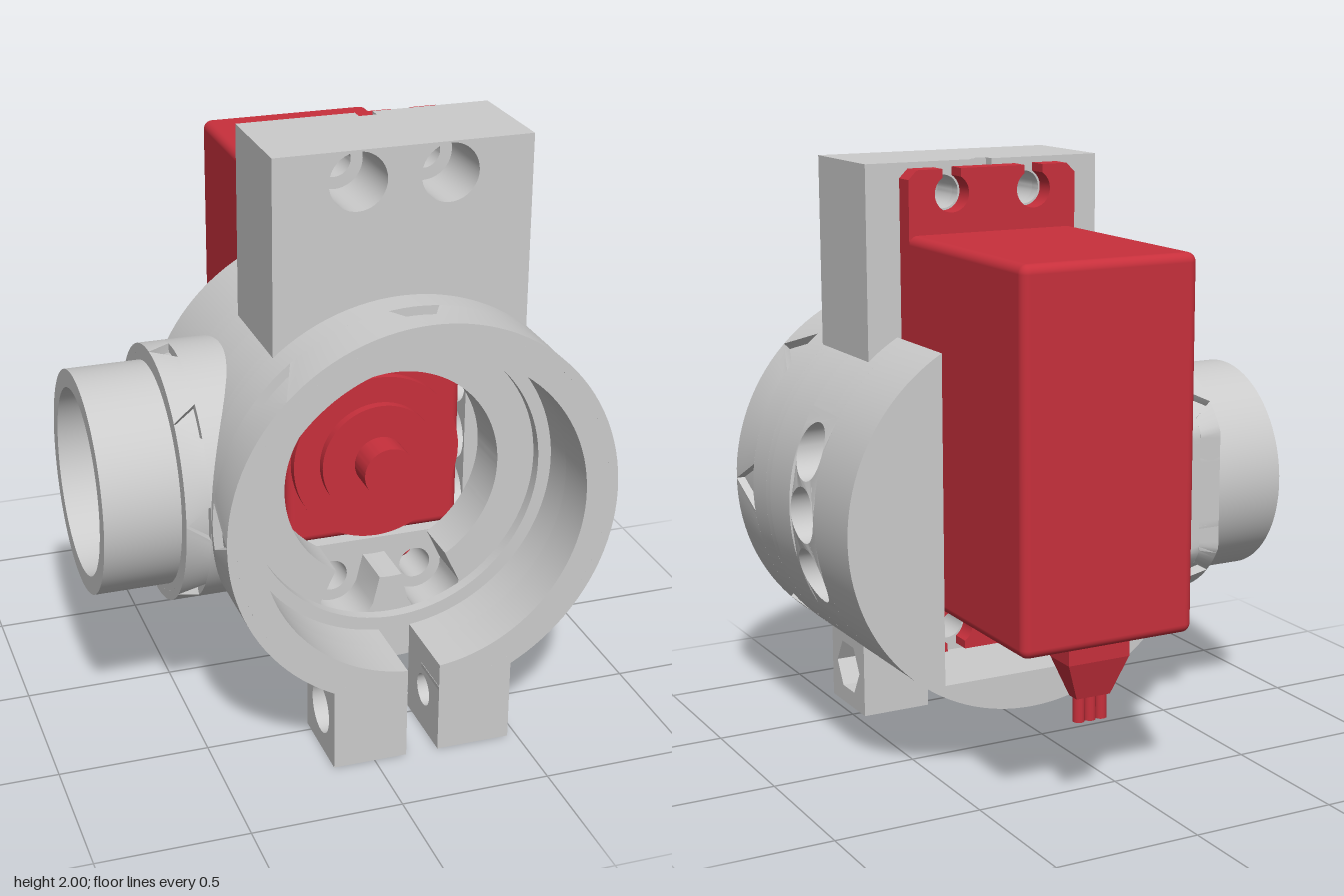
import * as THREE from 'three';
import { toCreasedNormals } from 'three/addons/utils/BufferGeometryUtils.js';
import { RoundedBoxGeometry } from 'three/addons/geometries/RoundedBoxGeometry.js';

const PI = Math.PI;
const R = 0.655;      // housing radius
const S = 0.32;       // half width of the motor slot
const grey = new THREE.MeshStandardMaterial({ color: 0xcccccc });
const red = new THREE.MeshStandardMaterial({ color: 0xc8303c });

function add(parent, name, geo, mat = grey, x = 0, y = 0, z = 0) {
  const m = new THREE.Mesh(geo, mat);
  m.name = name;
  m.position.set(x, y, z);
  parent.add(m);
  return m;
}

// Points along an arc
function arc(r, a0, a1, n = 64, cx = 0, cy = 0) {
  return Array.from({ length: n + 1 }, (_, i) => {
    const a = a0 + (a1 - a0) * i / n;
    return new THREE.Vector2(cx + r * Math.cos(a), cy + r * Math.sin(a));
  });
}
const circle = (r, x = 0, y = 0, n = 96) => arc(r, 0, 2 * PI, n, x, y).slice(0, n);
const pts = (...list) => list.map(([x, y]) => new THREE.Vector2(x, y));

// Extrudes an outline with holes from z0 to z1; rule may move each vertex
function slab(outline, holes, z0, z1, rule) {
  const shape = new THREE.Shape(outline);
  shape.holes = holes.map(h => new THREE.Path(h));
  const geo = new THREE.ExtrudeGeometry(shape, { depth: z1 - z0, bevelEnabled: false });
  geo.translate(0, 0, z0);
  return rule ? bend(geo, rule) : toCreasedNormals(geo, 0.5);
}

function bend(geo, rule) {
  const p = geo.attributes.position;
  for (let i = 0; i < p.count; i++) p.setXYZ(i, ...rule(p.getX(i), p.getY(i), p.getZ(i)));
  geo.computeVertexNormals();
  return toCreasedNormals(geo, 0.5);
}

// Raised curved tile between two pointer-shaped notches
function tile(a, b, halfA, halfB, r0, r1, z0, z1, minX = -9) {
  return bend(new THREE.BoxGeometry(1, 1, 1, 14, 1, 1), (x, y, z) => {
    const k = 0.5 - z;
    const t = (a + halfA * k) + (b - halfB * k - a - halfA * k) * (0.5 - x);
    const r = r0 + (r1 - r0) * (y + 0.5);
    return [Math.max(minX, r * Math.cos(t)), r * Math.sin(t), z0 + (z1 - z0) * (z + 0.5)];
  });
}

function buildHousing() {
  const g = new THREE.Group();
  g.name = 'housing';
  g.position.set(0.165, 0.86, 0);
  const a = Math.asin(0.34 / R), c = Math.acos(S / R);
  const screws = r => [-0.15, 0.15].map(x => circle(r, x, -0.43, 32));

  // Rear shell, slotted for the motor; the +x side is left open for the drilled cheek
  add(g, 'rearShell', slab([...arc(R, PI - c, 2 * PI + c, 110),
    ...pts([S, -0.53], [-S, -0.53])], [], -0.23, 0.04));
  add(g, 'rearShellLower', slab([...arc(R, PI - c, 2 * PI - a, 90),
    ...pts([S, -0.34], [S, -0.53], [-S, -0.53])], [], 0.04, 0.1));
  add(g, 'rearShellUpper', slab([...arc(R, a, c, 16), ...pts([S, 0.34])], [], 0.04, 0.1));
  add(g, 'motorPocket', slab([...arc(R, a, 2 * PI - a, 110),
    ...pts([S, -0.34], [S, -0.31], [-S, -0.31], [-S, 0.5], [S, 0.5], [S, 0.34])],
    screws(0.055), 0.1, 0.25));

  // Cheek with three cross holes, curved to the housing outside
  const edge = Array.from({ length: 25 }, (_, i) => -0.34 + 0.68 * i / 24);
  const cheek = [...edge.map(y => new THREE.Vector2(0.25, y)),
    ...edge.map(y => new THREE.Vector2(0.04, -y))];
  add(g, 'drilledCheek', slab(cheek, [-0.21, 0, 0.21].map(y => circle(0.095, 0.145, y, 40)), 0, 1,
    (x, y, z) => [S + (Math.sqrt(R * R - y * y) - S) * (1 - z), y, x]));

  // Bulkhead opening merged with the two screw counterbores
  const d = Math.hypot(0.15, 0.43);
  const opening = circle(1, 0, 0, 240).map(p => {
    let r = 0.37;
    for (const x of [-0.15, 0.15]) {
      const along = p.x * x - p.y * 0.43, h = 0.095 ** 2 - (d * d - along * along);
      if (along > 0 && h > 0) r = Math.max(r, along + Math.sqrt(h));
    }
    return p.multiplyScalar(r);
  });
  add(g, 'bulkhead', slab(circle(R), [opening], 0.25, 0.42));
  add(g, 'bearingSeat', slab(circle(R), [circle(0.5)], 0.42, 0.46));

  // Split clamp ring with pointer notches around the rim
  const split = (ro, ri) => {
    const o = Math.asin(0.055 / ro), i = Math.asin(0.055 / ri);
    return [...arc(ro, -PI / 2 + o, 1.5 * PI - o, 110), ...arc(ri, 1.5 * PI - i, -PI / 2 + i, 110)];
  };
  add(g, 'clampRing', slab(split(R, 0.545), [], 0.46, 0.58));
  add(g, 'clampRim', slab(split(0.625, 0.545), [], 0.58, 0.74));
  const gap = 0.086, w = 0.127;
  for (let k = 0; k < 8; k++) {
    const first = k === 0, last = k === 7;
    add(g, 'rimTile', tile(-PI / 2 + k * PI / 4 + (first ? gap : 0),
      -PI / 2 + (k + 1) * PI / 4 - (last ? gap : 0), first ? 0 : w, last ? 0 : w, 0.625, R, 0.58, 0.74));
  }

  // Clamp lugs: hexagonal nut pocket on +x, round screw recess on -x
  for (const side of [1, -1]) {
    const lug = new THREE.Group();
    lug.name = side > 0 ? 'leftClampLug' : 'rightClampLug';
    lug.rotation.y = -PI / 2;
    g.add(lug);
    const outline = pts([0.46, -0.86], [0.74, -0.86], [0.74, -0.58], [0.46, -0.58]);
    const pocket = circle(side > 0 ? 0.098 : 0.085, 0.6, -0.715, side > 0 ? 6 : 40);
    const span = (x0, x1) => [Math.min(-side * x0, -side * x1), Math.max(-side * x0, -side * x1)];
    add(lug, 'lugInner', slab(outline, [circle(0.055, 0.6, -0.715, 32)], ...span(0.055, 0.2)));
    add(lug, 'lugOuter', slab(outline, [pocket], ...span(0.2, 0.305)));
  }

  // Upper mounting block with counterbored screw holes and a rear notch
  const b = Math.acos(0.425 / 0.6);
  const base = arc(0.6, PI - b, b, 30);
  const block = [...base, ...pts([0.425, 1.14], [-0.425, 1.14])];
  const notched = [...base, ...pts([0.425, 1.14], [0.03, 1.14], [0.03, 0.95],
    [-0.03, 0.95], [-0.03, 1.14], [-0.425, 1.14])];
  const top = r => [-0.15, 0.15].map(x => circle(r, x, 1.04, 40));
  add(g, 'blockRear', slab(notched, top(0.055), 0.1, 0.14));
  add(g, 'blockMiddle', slab(block, top(0.055), 0.14, 0.25));
  add(g, 'blockFront', slab(block, top(0.095), 0.25, 0.48));

  // Side spigot along -x, its collar trimmed flush with the rear face
  const s = new THREE.Group();
  s.name = 'sideSpigot';
  s.rotation.y = -PI / 2;
  s.position.z = 0.14;
  g.add(s);
  const fit = end => (x, y, z) => {
    const root = Math.sqrt(0.36 - y * y);
    return [Math.max(-0.37, x), y, root + (end - root) * z];
  };
  add(s, 'collar', slab(circle(0.425), [circle(0.3)], 0, 1, fit(0.655)));
  add(s, 'collarCore', slab(circle(0.395), [circle(0.3)], 0, 1, fit(0.735)));
  for (let k = 0; k < 8; k++) {
    add(s, 'collarTile', tile(k * PI / 4, (k + 1) * PI / 4, 0.14, 0.14, 0.395, 0.425, 0.655, 0.735, -0.37));
  }
  add(s, 'spigotTube', slab(circle(0.37), [circle(0.31)], 0.735, 0.985));
  add(s, 'spigotFloor', slab(circle(0.34),
    [circle(0.095, 0, 0, 32), circle(0.06, 0, 0.21, 32), circle(0.06, 0, -0.21, 32)], 0.735, 0.785));
  return g;
}

function buildMotor() {
  const g = new THREE.Group();
  g.name = 'motor';
  g.position.x = 0.165;
  add(g, 'motorCase', new RoundedBoxGeometry(0.61, 1.21, 0.98, 4, 0.03), red, 0, 1.165, -0.25);

  // Mounting ears with keyhole slots open at the end
  for (const up of [1, -1]) {
    const y0 = up > 0 ? 1.74 : 0.59, yEnd = y0 + up * 0.24, yh = up > 0 ? 1.9 : 0.43;
    const h = Math.asin(0.033 / 0.062);
    const slot = x => [new THREE.Vector2(x - 0.033, yEnd),
      ...arc(0.062, up * (PI / 2 + h), up * (2.5 * PI - h), 28, x, yh), new THREE.Vector2(x + 0.033, yEnd)];
    const e = yEnd - up * 0.03;
    add(g, 'mountingEar', slab([...pts([-0.305, y0], [-0.305, e], [-0.275, yEnd]), ...slot(-0.15),
      ...slot(0.15), ...pts([0.275, yEnd], [0.305, e], [0.305, y0])], [], 0.03, 0.1), red);
  }

  // Stepped output boss and shaft
  for (const [name, r, z0, z1] of [['gearCover', 0.29, 0.2, 0.27], ['outputBoss', 0.2, 0.2, 0.3],
    ['outputShaft', 0.088, 0.25, 0.4]]) {
    add(g, name, slab(circle(r, 0, 0.86, 64), [], z0, z1), red);
  }

  // Cable strain relief and three wires
  add(g, 'strainReliefTop', new THREE.BoxGeometry(0.22, 0.08, 0.12), red, 0, 0.535, -0.615);
  add(g, 'strainRelief', bend(new THREE.BoxGeometry(0.22, 0.13, 0.12),
    (x, y, z) => y < 0 ? [x * 0.55, y, z * 0.4] : [x, y, z]), red, 0, 0.432, -0.615);
  for (const x of [-0.04, 0, 0.04]) {
    add(g, 'wire', new THREE.CylinderGeometry(0.02, 0.02, 0.1, 16), red, x, 0.335, -0.615);
  }
  return g;
}

export function createModel() {
  const model = new THREE.Group();
  model.name = 'motorJoint';
  model.add(buildHousing(), buildMotor());
  return model;
}
